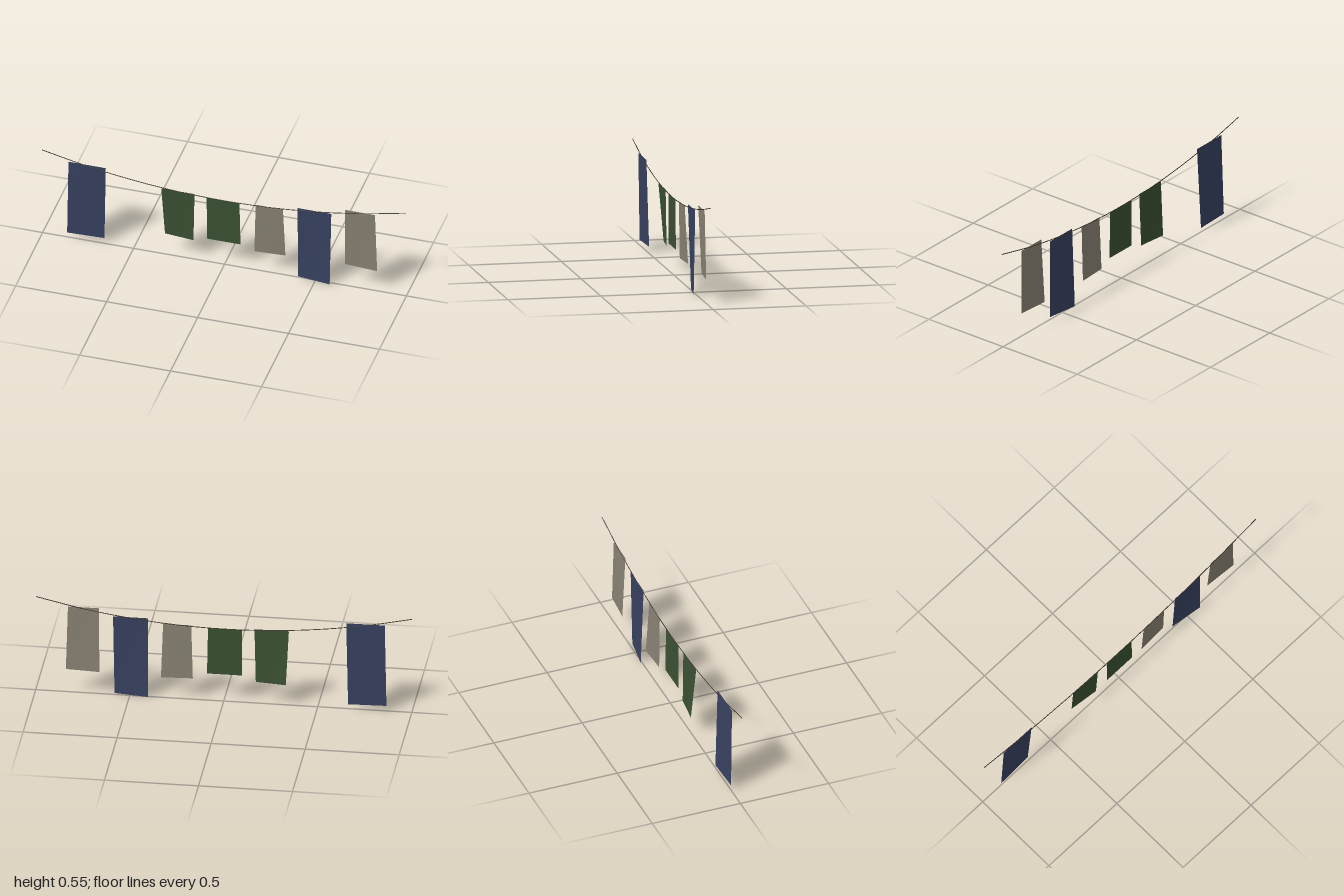
import * as THREE from 'three';

const mat = (name, color, side = THREE.FrontSide) => {
  const m = new THREE.MeshStandardMaterial({ color, side });
  m.name = name;
  return m;
};

// Cloth hung from a straight top edge; the two lower corners swing to different depths
function cloth(name, material, [tl, tr, top], [bl, br, bottom], [zl, zr]) {
  const { lerp } = THREE.MathUtils;
  const lineZ = 0.01;
  const geo = new THREE.PlaneGeometry(1, 1, 4, 6);
  const p = geo.attributes.position;
  for (let i = 0; i < p.count; i++) {
    const u = p.getX(i) + 0.5;
    const v = 0.5 - p.getY(i);
    p.setXYZ(
      i,
      lerp(lerp(tl, tr, u), lerp(bl, br, u), v),
      lerp(top, bottom, v),
      lerp(lineZ, lerp(zl, zr, u), v)
    );
  }
  geo.computeVertexNormals();
  const mesh = new THREE.Mesh(geo, material);
  mesh.name = name;
  return mesh;
}

export function createModel() {
  const group = new THREE.Group();
  group.name = 'clothesline';

  const rope = mat('dark rope', 0x3a3028);
  const navy = mat('navy cloth', 0x374160, THREE.DoubleSide);
  const green = mat('green cloth', 0x3a5032, THREE.DoubleSide);
  const beige = mat('beige cloth', 0x888173, THREE.DoubleSide);

  // Sagging line
  const pts = [];
  for (let i = -4; i <= 4; i++) {
    const x = i / 4;
    pts.push(new THREE.Vector3(x, 0.421 + 0.125 * x * x, 0.01));
  }
  const line = new THREE.Mesh(
    new THREE.TubeGeometry(new THREE.CatmullRomCurve3(pts), 24, 0.0022, 6), rope);
  line.name = 'line';
  group.add(line);

  // Hanging cloths: top edge, bottom edge, depth of the lower corners
  group.add(
    cloth('largeNavyCloth', navy, [-0.855, -0.65, 0.499], [-0.865, -0.662, 0.03], [0.001, -0.007]),
    cloth('outerGreenCloth', green, [-0.345, -0.162, 0.431], [-0.332, -0.17, 0.124], [-0.015, 0.003]),
    cloth('middleGreenCloth', green, [-0.095, 0.085, 0.424], [-0.095, 0.09, 0.154], [0.008, 0.008]),
    cloth('innerBeigeCloth', beige, [0.174, 0.324, 0.431], [0.165, 0.333, 0.122], [0.003, -0.006]),
    cloth('longNavyCloth', navy, [0.404, 0.59, 0.457], [0.403, 0.583, 0.001], [-0.007, 0.017]),
    cloth('outerBeigeCloth', beige, [0.665, 0.83, 0.499], [0.66, 0.84, 0.132], [-0.009, 0.004])
  );
  return group;
}
